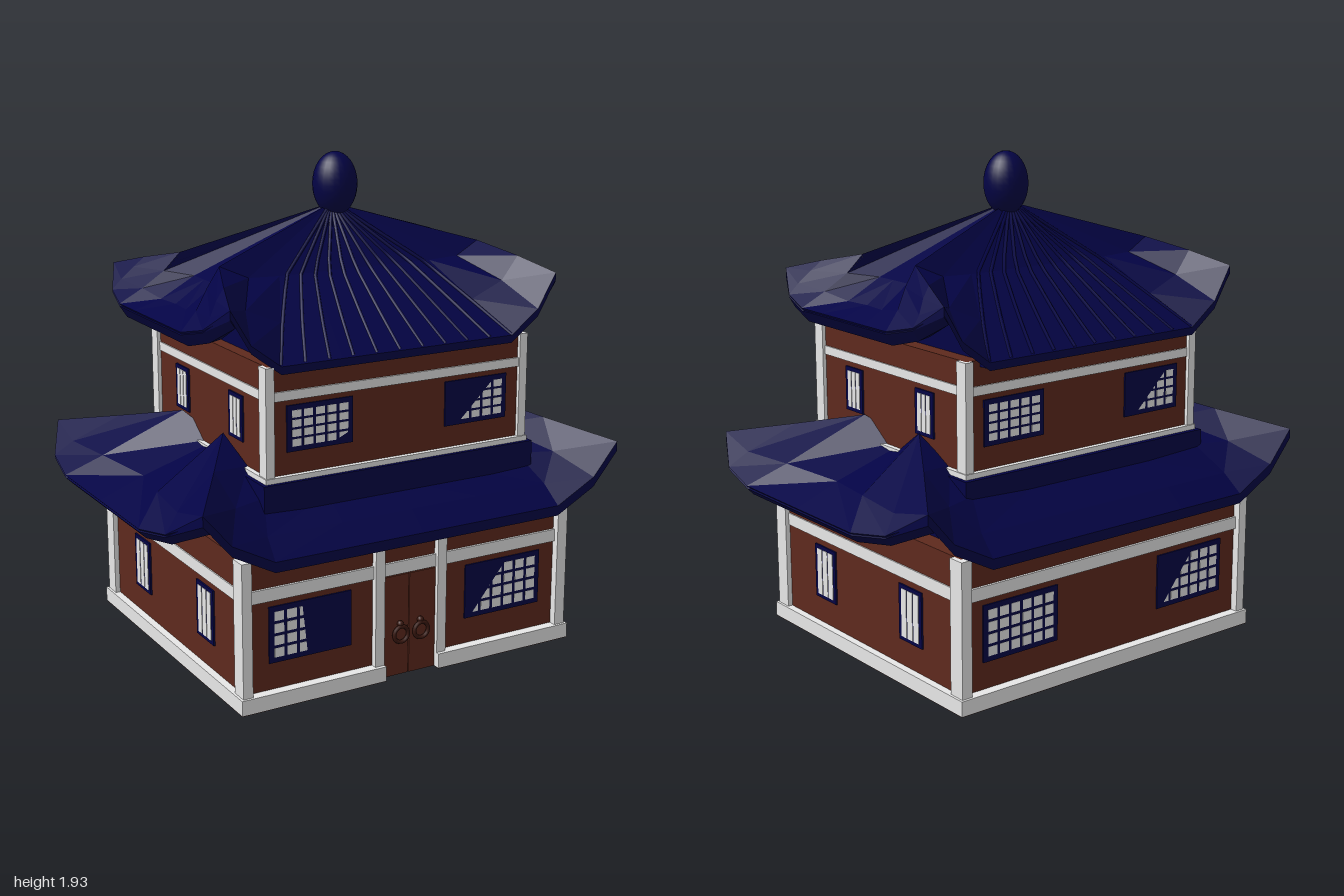
import * as THREE from 'three';

const mat = (name, color, extra = {}) => Object.assign(new THREE.MeshStandardMaterial({ color, ...extra }), { name });

export function createModel() {
  const model = new THREE.Group();
  model.name = 'pagoda';
  const wood = mat('reddish brown wood', 0x5e291d);
  const trim = mat('pale grey trim', 0xe8e8e8);
  const navy = mat('navy tile', 0x030345, { side: THREE.DoubleSide });
  const iron = mat('dark brown handle', 0x3a1810);

  const add = (name, geo, m, parent = model) => {
    const mesh = new THREE.Mesh(geo, m);
    mesh.name = name;
    parent.add(mesh);
    return mesh;
  };
  // Box given by its limits along each axis
  const box = (name, m, x0, x1, y0, y1, z0, z1, parent) => {
    const mesh = add(name, new THREE.BoxGeometry(x1 - x0, y1 - y0, z1 - z0), m, parent);
    mesh.position.set((x0 + x1) / 2, (y0 + y1) / 2, (z0 + z1) / 2);
    return mesh;
  };
  const polygon = (pts) => new THREE.Shape(pts.map(([x, y]) => new THREE.Vector2(x, y)));

  // Thin roof shell from rows of points running from the inside to the eave
  const shell = (name, rows, thick, sx, sz) => {
    const pos = [];
    const at = (r, c, drop) => [rows[r][c][0] * sx, rows[r][c][1] - drop, rows[r][c][2] * sz];
    const quad = (a, b, c, d) => {
      const order = sx * sz > 0 ? [a, b, c, a, c, d] : [a, c, b, a, d, c];
      order.forEach((p) => pos.push(...p));
    };
    const last = rows.length - 1;
    for (let c = 0; c < rows[0].length - 1; c++) {
      for (let r = 0; r < last; r++) {
        quad(at(r, c, 0), at(r + 1, c, 0), at(r + 1, c + 1, 0), at(r, c + 1, 0));
        quad(at(r, c, thick), at(r, c + 1, thick), at(r + 1, c + 1, thick), at(r + 1, c, thick));
      }
      quad(at(last, c, 0), at(last, c, thick), at(last, c + 1, thick), at(last, c + 1, 0));
    }
    const geo = new THREE.BufferGeometry();
    geo.setAttribute('position', new THREE.Float32BufferAttribute(pos, 3));
    geo.computeVertexNormals();
    add(name, geo, navy);
  };

  // Roof quarters: a front panel and an upswept side panel, mirrored four ways
  const lowerFront = [
    [[0, .74, .5], [.3, .74, .5], [.56, .76, .49], [.55, .84, .34], [.57, .93, .18]],
    [[0, .66, .61], [.3, .66, .61], [.61, .66, .61], [.7, .76, .54], [.73, .87, .43]],
    [[0, .59, .69], [.3, .59, .69], [.62, .59, .69], [.79, .68, .69], [.9, .81, .69]],
  ];
  const lowerSide = [
    [[.5, .85, 0], [.57, .93, .18], [.73, .87, .43], [.9, .81, .69]],
    [[.82, .75, 0], [.88, .77, .26], [.91, .77, .5], [.9, .81, .69]],
    [[1, .68, 0], [1, .68, .36], [.975, .71, .54], [.9, .81, .69]],
    [[.97, .65, 0], [.97, .65, .36], [.95, .68, .54], [.9, .78, .69]],
    [[.87, .69, 0], [.87, .69, .36], [.87, .7, .54], [.87, .75, .69]],
  ];
  const apex = [0, 1.73, 0];
  const upperFront = [
    [apex, apex, apex, apex, apex],
    [[0, 1.505, .19], [.18, 1.505, .19], [.33, 1.505, .19], [.46, 1.51, .19], [.57, 1.56, .17]],
    [[0, 1.37, .36], [.22, 1.37, .36], [.42, 1.37, .36], [.56, 1.43, .36], [.64, 1.52, .35]],
    [[0, 1.25, .52], [.25, 1.25, .52], [.5, 1.25, .52], [.62, 1.34, .52], [.7, 1.475, .52]],
  ];
  const upperSide = [
    [apex, apex, [.57, 1.56, .17], [.64, 1.52, .35], [.7, 1.475, .52]],
    [[.55, 1.48, 0], [.55, 1.48, .09], [.63, 1.49, .19], [.68, 1.48, .37], [.7, 1.475, .52]],
    [[.67, 1.4, 0], [.68, 1.4, .11], [.7, 1.42, .24], [.72, 1.43, .4], [.7, 1.475, .52]],
    [[.78, 1.36, 0], [.78, 1.36, .14], [.78, 1.36, .28], [.755, 1.39, .41], [.7, 1.475, .52]],
    [[.75, 1.315, 0], [.75, 1.315, .14], [.75, 1.315, .28], [.73, 1.35, .41], [.7, 1.45, .52]],
    [[.68, 1.36, 0], [.68, 1.36, .14], [.68, 1.36, .28], [.68, 1.36, .41], [.68, 1.42, .52]],
  ];
  for (const sx of [1, -1]) for (const sz of [1, -1]) {
    shell('lowerRoofFrontPanel', lowerFront, .04, sx, sz);
    shell('lowerRoofSidePanel', lowerSide, .01, sx, -sz);
    shell('upperRoofFrontPanel', upperFront, .03, sx, sz);
    shell('upperRoofSidePanel', upperSide, .01, sx, -sz);
  }

  // Solid soffits filling the roofs, as half profiles (z, y) run along x
  const soffit = (name, half, halfWidth) => {
    const mirrored = half.map(([z, y]) => [-z, y]).reverse();
    const geo = new THREE.ExtrudeGeometry(polygon([...half, ...mirrored]), { depth: halfWidth * 2, bevelEnabled: false });
    geo.translate(0, 0, -halfWidth).rotateY(Math.PI / 2);
    add(name, geo, navy);
  };
  soffit('lowerRoofSoffit', [[.68, .56], [.6, .64], [.5, .71]], .62);
  soffit('upperRoofSoffit', [[.512, 1.225], [.36, 1.345], [.3, 1.39]], .5);
  box('lowerRoofSkirt', navy, -.585, .595, .66, .82, -.5, .54);

  // Fanned tile ribs on the front and back of the upper roof
  for (const sz of [1, -1]) for (let i = -5; i <= 5; i++) {
    const pts = [[.006, 1.71, .02], [.06, 1.505, .19], [.082, 1.37, .36], [.1, 1.25, .515]]
      .map(([x, y, z]) => new THREE.Vector3(x * i, y + .002, z * sz));
    const path = new THREE.CurvePath();
    for (let k = 0; k < 3; k++) path.add(new THREE.LineCurve3(pts[k], pts[k + 1]));
    add('roofRib', new THREE.TubeGeometry(path, 9, .007, 5), navy);
  }

  // Egg-shaped finial
  const finial = add('finial', new THREE.SphereGeometry(1, 24, 16), navy);
  finial.scale.set(.088, .125, .088);
  finial.position.set(.015, 1.803, 0);

  // Ground floor, with a wooden underside and a gap in the plinth at the door
  box('lowerWalls', wood, -.705, .695, .001, .58, -.6, .6);
  box('floor', wood, -.735, .725, 0, .0015, -.64, .6);
  box('plinthBack', trim, -.735, .725, .0015, .06, -.64, -.595);
  for (const [x0, x1] of [[-.735, -.125], [.11, .725]]) {
    box('floorFront', wood, x0, x1, 0, .0015, .6, .64);
    box('plinthFront', trim, x0, x1, .0015, .06, .595, .64);
  }
  box('plinthRight', trim, -.735, -.7, .0015, .06, -.64, .64);
  box('plinthLeft', trim, .69, .725, .0015, .06, -.64, .64);
  for (const [z0, z1] of [[.56, .63], [-.63, -.56]]) {
    box('lowerPostRight', trim, -.725, -.685, .06, .58, z0, z1);
    box('lowerPostLeft', trim, .67, .715, .06, .58, z0, z1);
  }
  box('lowerBeams', trim, -.71, .7, .41, .46, -.61, .61);

  // Door with posts and ring handles
  box('doorPostRight', trim, -.165, -.125, .06, .58, .59, .625);
  box('doorPostLeft', trim, .11, .15, .06, .58, .59, .625);
  box('doorLeafRight', wood, -.125, -.01, 0, .405, .59, .608);
  box('doorLeafLeft', wood, -.006, .11, 0, .405, .59, .608);
  for (const x of [-.05, .04]) {
    add('doorRing', new THREE.TorusGeometry(.031, .008, 8, 20), iron).position.set(x, .17, .622);
    add('doorKnob', new THREE.SphereGeometry(.013, 10, 8), iron).position.set(x, .21, .615);
  }

  // Upper floor
  box('upperWalls', wood, -.55, .56, .8, 1.25, -.46, .505);
  box('upperSill', trim, -.57, .58, .815, .84, -.48, .525);
  for (const [z0, z1] of [[.465, .52], [-.475, -.42]]) {
    box('upperPostRight', trim, -.565, -.53, .84, 1.25, z0, z1);
    box('upperPostLeft', trim, .54, .575, .84, 1.25, z0, z1);
  }
  box('upperBeams', trim, -.555, .565, 1.12, 1.155, -.465, .512);

  // Lattice window facing +z in its own frame, partly covered by a slanted blind
  const lattice = (name, x0, x1, y0, y1, z, cols, blind, back = false) => {
    const w = x1 - x0, h = y1 - y0, g = new THREE.Group();
    g.name = name;
    g.position.set((x0 + x1) / 2, (y0 + y1) / 2, z);
    if (back) g.rotation.y = Math.PI;
    box('windowFrame', navy, -w / 2, w / 2, -h / 2, h / 2, -.002, .006, g);
    const dx = (w - .03) / cols, dy = (h - .03) / 4;
    for (let c = 0; c < cols; c++) for (let r = 0; r < 4; r++) {
      const cx = -w / 2 + .015 + (c + .5) * dx, cy = -h / 2 + .015 + (r + .5) * dy;
      box('windowPane', trim, cx - dx * .38, cx + dx * .38, cy - dy * .38, cy + dy * .38, .003, .007, g);
    }
    if (blind) {
      const shape = polygon(blind.map(([u, v]) => [(u - .5) * w, (v - .5) * h]));
      add('windowBlind', new THREE.ShapeGeometry(shape), navy, g).position.z = .0095;
    }
    model.add(g);
  };
  const lowSlant = [[.01, .99], [.55, .99], [.05, .01], [.01, .01]];
  const highSlant = [[.01, .99], [.82, .99], [.18, .01], [.01, .01]];
  const corner = [[.6, .01], [.99, .01], [.99, .3]];
  const halfShut = [[.39, .99], [.46, .01], [.99, .01], [.99, .99]];
  lattice('lowerFrontWindowRight', -.605, -.26, .165, .385, .6, 6, halfShut);
  lattice('lowerFrontWindowLeft', .25, .6, .165, .385, .6, 6, lowSlant);
  lattice('upperFrontWindowRight', -.475, -.2, .925, 1.1, .505, 5, corner);
  lattice('upperFrontWindowLeft', .205, .485, .925, 1.1, .505, 5, highSlant);
  lattice('lowerBackWindowLeft', .25, .6, .165, .385, -.6, 6, null, true);
  lattice('lowerBackWindowRight', -.605, -.26, .165, .385, -.6, 6, lowSlant, true);
  lattice('upperBackWindowLeft', .205, .485, .925, 1.1, -.46, 5, null, true);
  lattice('upperBackWindowRight', -.475, -.2, .925, 1.1, -.46, 5, highSlant, true);

  // Barred side windows
  const barred = (name, x, side, z0, z1, y0, y1) => {
    const w = z1 - z0, h = y1 - y0, g = new THREE.Group();
    g.name = name;
    g.position.set(x, (y0 + y1) / 2, (z0 + z1) / 2);
    g.rotation.y = side * Math.PI / 2;
    box('windowFrame', navy, -w / 2, w / 2, -h / 2, h / 2, -.002, .007, g);
    const step = (w - .03) / 3;
    for (let i = -1; i <= 1; i++) {
      box('windowBar', trim, (i - .42) * step, (i + .42) * step, -h / 2 + .015, h / 2 - .015, .004, .009, g);
    }
    model.add(g);
  };
  for (const side of [1, -1]) {
    const low = side > 0 ? .695 : -.705, high = side > 0 ? .56 : -.55;
    barred('lowerSideWindowFront', low, side, .215, .36, .165, .385);
    barred('lowerSideWindowBack', low, side, -.365, -.22, .165, .385);
    barred('upperSideWindowFront', high, side, .2, .315, .925, 1.1);
    barred('upperSideWindowBack', high, side, -.265, -.15, .925, 1.1);
  }
  return model;
}
